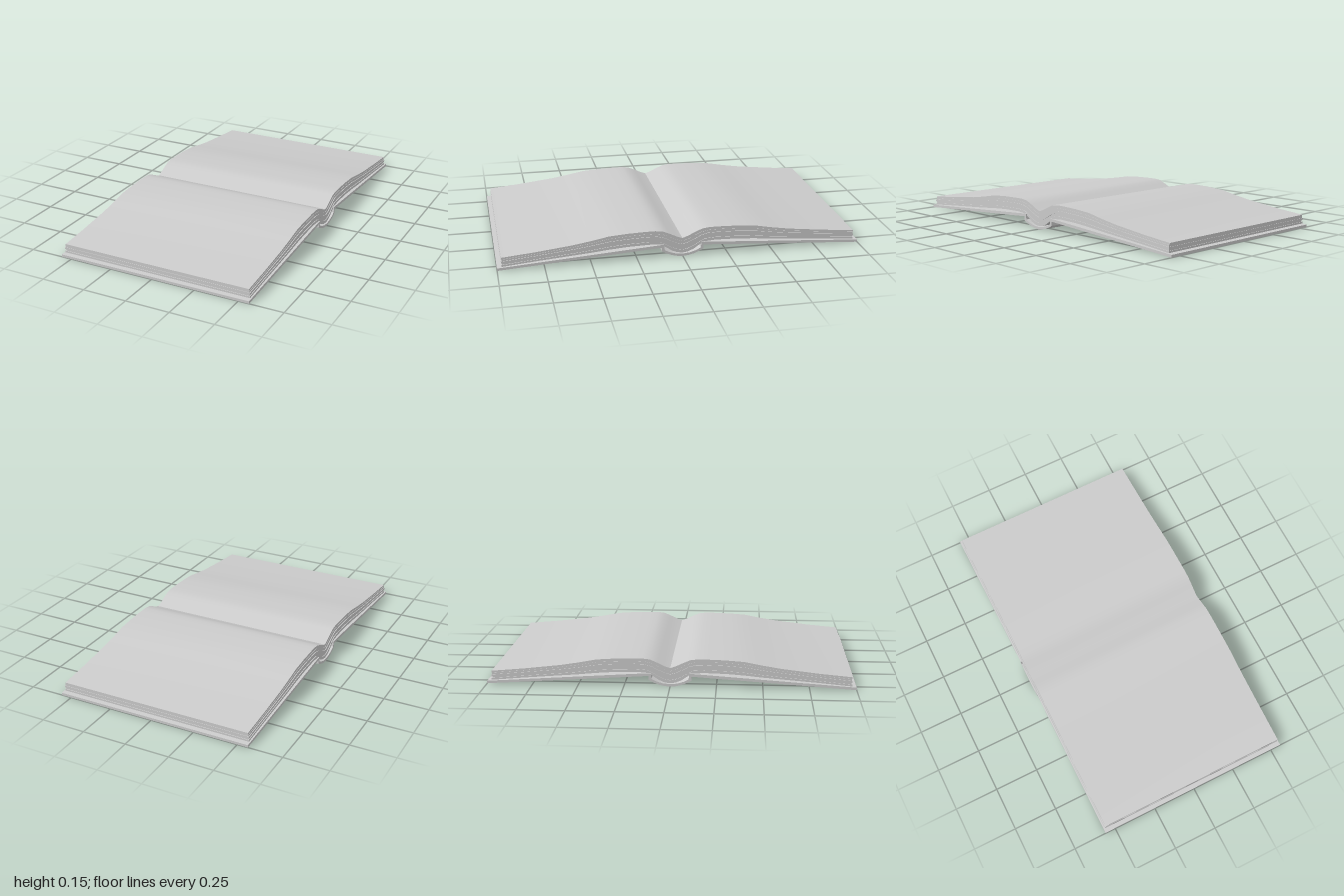
import * as THREE from 'three';
import { toCreasedNormals } from 'three/addons/utils/BufferGeometryUtils.js';

const material = new THREE.MeshStandardMaterial({ color: 0xcccccc });

// Half profiles as [z, y], from the middle fold to the outer edge
const pageTop = [[0, 0.1], [0.03, 0.111], [0.07, 0.13], [0.11, 0.147], [0.15, 0.152], [0.2, 0.152],
  [0.3, 0.149], [0.4, 0.142], [0.5, 0.123], [0.6, 0.107], [0.8, 0.084], [0.976, 0.068]];
const pageBottom = [[0, 0.017], [0.03, 0.022], [0.06, 0.034], [0.09, 0.055], [0.12, 0.073], [0.18, 0.078],
  [0.3, 0.075], [0.4, 0.068], [0.5, 0.058], [0.6, 0.05], [0.8, 0.034], [0.976, 0.018]];
const coverTop = [[0, 0.014], [0.04, 0.018], [0.075, 0.029], [0.1, 0.042], [0.104, 0.073], [0.125, 0.073], [1, 0.014]];
const coverBottom = [[0, 0], [0.03, 0.003], [0.06, 0.01], [0.09, 0.022], [0.115, 0.035], [0.115, 0.058], [1, 0]];

// Mirrors a half profile across z = 0, running from -z to +z
const mirrored = (half) => [...half.slice(1).reverse().map(([z, y]) => [-z, y]), ...half];

// Sweeps the area between two half profiles along x
function slab(name, bottom, top, halfWidth) {
  const outline = [...mirrored(bottom), ...mirrored(top).reverse()];
  const shape = new THREE.Shape(outline.map(([z, y]) => new THREE.Vector2(z, y)));
  const geometry = new THREE.ExtrudeGeometry(shape, { depth: 2 * halfWidth, bevelEnabled: false });
  geometry.translate(0, 0, -halfWidth).rotateY(-Math.PI / 2);
  const mesh = new THREE.Mesh(toCreasedNormals(geometry, 0.6), material);
  mesh.name = name;
  return mesh;
}

// Profile part of the way up the page block, with a trimmed outer edge
const pageProfile = (t, inset) => pageTop.map(([z, y], i) => {
  const [zb, yb] = pageBottom[i];
  const edge = i === pageTop.length - 1 ? inset : 0;
  return [THREE.MathUtils.lerp(zb, z, t) - edge, THREE.MathUtils.lerp(yb, y, t)];
});

export function createModel() {
  const book = new THREE.Group();
  book.name = 'openBook';

  // Hard cover with rounded spine
  book.add(slab('coverAndSpine', coverBottom, coverTop, 0.56));

  // Page block in slightly uneven bundles
  const pages = new THREE.Group();
  pages.name = 'pages';
  const widths = [0.553, 0.549, 0.554, 0.55, 0.548];
  const insets = [0, 0.003, 0, 0.002, 0];
  widths.forEach((width, i) => {
    const n = widths.length;
    pages.add(slab('pageBundle' + (i + 1), pageProfile(i / n, insets[i]), pageProfile((i + 1) / n, insets[i]), width));
  });
  book.add(pages);
  return book;
}
